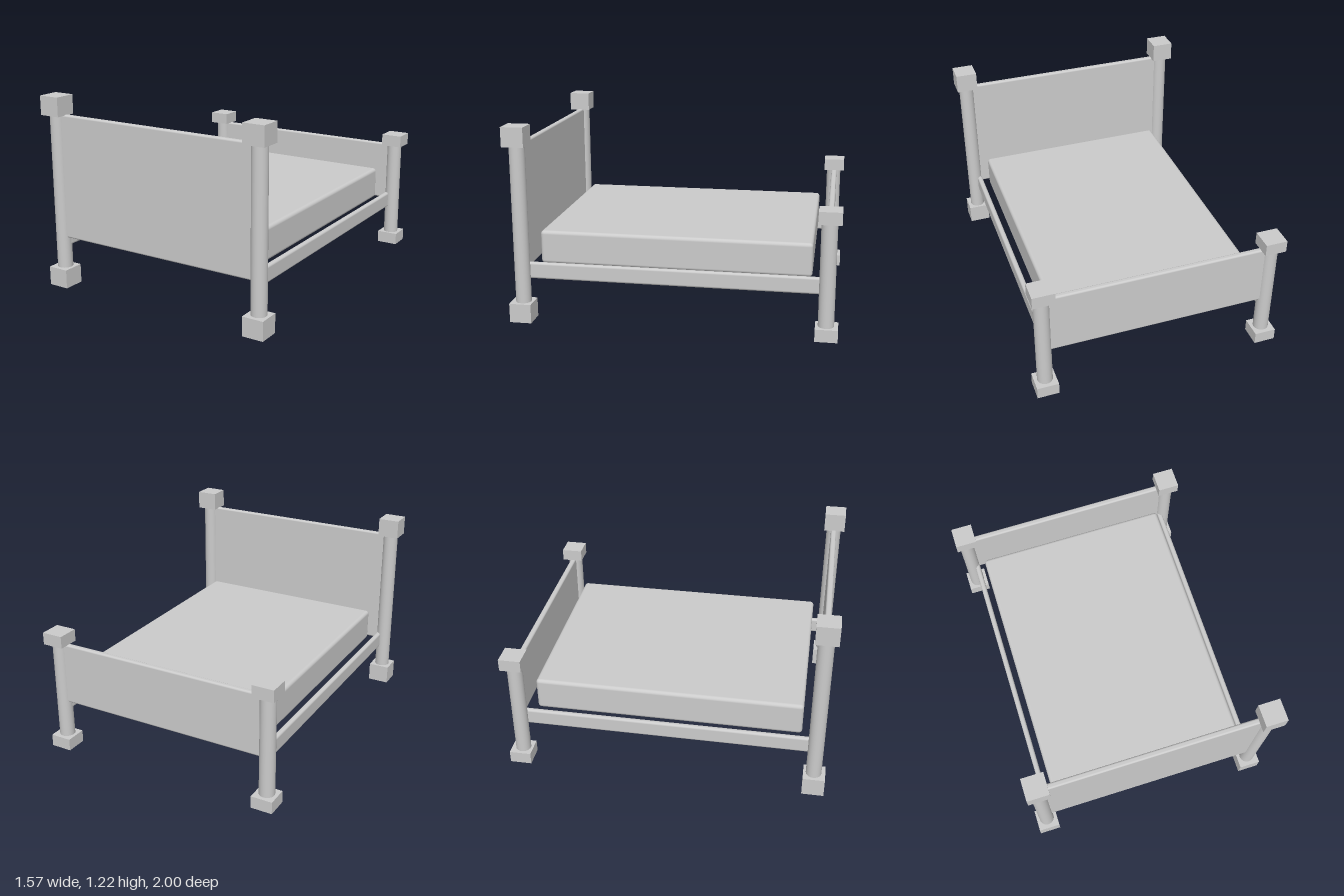
import * as THREE from 'three';
import { RoundedBoxGeometry } from 'three/addons/geometries/RoundedBoxGeometry.js';

const material = new THREE.MeshStandardMaterial({ color: 0xcccccc });

function add(parent, name, geometry, x, y, z) {
  const mesh = new THREE.Mesh(geometry, material);
  mesh.name = name;
  mesh.position.set(x, y, z);
  parent.add(mesh);
  return mesh;
}

// Round post between a square foot and a square cap
function makePost(name, x, z, height, blockHeight) {
  const post = new THREE.Group();
  post.name = name;
  post.position.set(x, 0, z);
  const block = new THREE.BoxGeometry(0.136, blockHeight, 0.136);
  add(post, 'foot', block, 0, blockHeight / 2, 0);
  add(post, 'cap', block, 0, height - blockHeight / 2, 0);
  const length = height - 2 * blockHeight;
  const shaft = new THREE.CylinderGeometry(0.048, 0.048, length, 24);
  add(post, 'shaft', shaft, 0, height / 2, -Math.sign(z) * 0.004);
  return post;
}

// Upright board with softened edges, spanning the two posts
function addBoard(parent, name, bottom, top, z) {
  const geometry = new RoundedBoxGeometry(1.42, top - bottom, 0.036, 3, 0.012);
  add(parent, name, geometry, 0, (bottom + top) / 2, z);
}

export function createModel() {
  const bed = new THREE.Group();
  bed.name = 'bed';

  // Posts and side rails, mirrored left and right
  for (const side of [1, -1]) {
    const label = side > 0 ? 'left' : 'right';
    bed.add(makePost(label + 'HeadPost', side * 0.717, 0.932, 1.22, 0.12));
    bed.add(makePost(label + 'FootPost', side * 0.717, -0.932, 0.79, 0.077));
    add(bed, label + 'Rail', new RoundedBoxGeometry(0.034, 0.104, 1.84, 3, 0.014),
      side * 0.687, 0.315, 0);
  }

  // Headboard and footboard
  addBoard(bed, 'headboard', 0.318, 1.105, 0.928);
  addBoard(bed, 'footboard', 0.318, 0.715, -0.931);

  // Mattress, sunk slightly between the rails
  add(bed, 'mattress', new RoundedBoxGeometry(1.26, 0.21, 1.672, 3, 0.022), 0, 0.445, 0);

  return bed;
}
